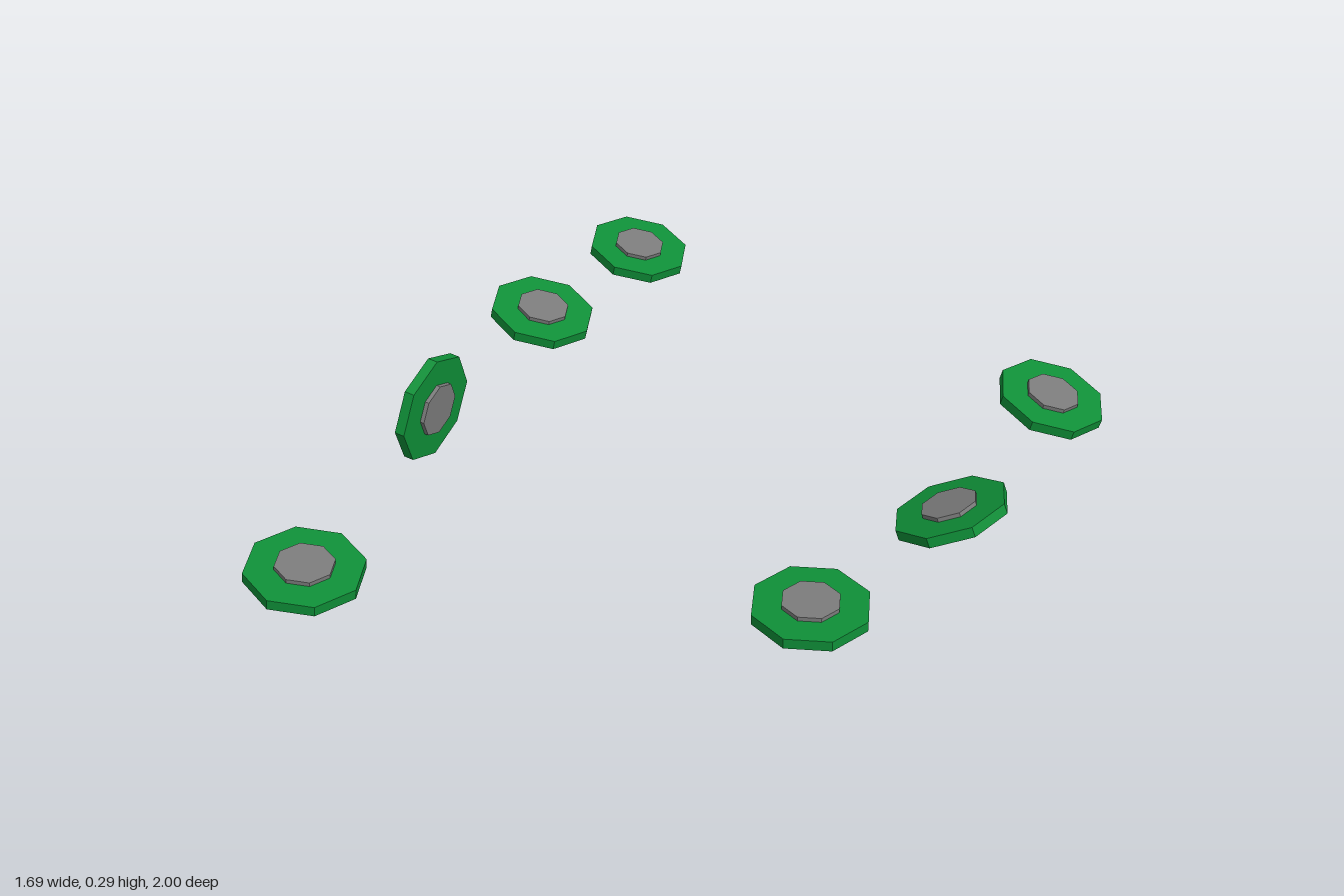
import * as THREE from 'three';

export function createModel() {
  const model = new THREE.Group();
  model.name = 'scatteredDiscs';

  const green = new THREE.MeshStandardMaterial({ color: 0x0f9038, flatShading: true });
  green.name = 'green';
  const grey = new THREE.MeshStandardMaterial({ color: 0x7c7c7c, flatShading: true });
  grey.name = 'grey';

  // Shared octagonal plate and raised centre
  const plateGeometry = new THREE.CylinderGeometry(0.145, 0.145, 0.027, 8);
  const centreGeometry = new THREE.CylinderGeometry(0.072, 0.072, 0.012, 8);

  // Each disc: x, y, z of the plate centre and its tilt about z in degrees
  const discs = [
    [0.505, 0.074, 0.405, 0],
    [0.673, 0.128, -0.025, 21.8],
    [0.698, 0.094, -0.655, -14],
    [-0.655, 0.09, -0.855, -12.5],
    [-0.702, 0.107, -0.39, -13.5],
    [-0.667, 0.15, 0.205, -96],
    [-0.595, 0.088, 0.85, -7],
  ];

  discs.forEach(([x, y, z, tilt], i) => {
    const disc = new THREE.Group();
    disc.name = `disc${i + 1}`;

    const plate = new THREE.Mesh(plateGeometry, green);
    plate.name = 'plate';

    const centre = new THREE.Mesh(centreGeometry, grey);
    centre.name = 'raisedCentre';
    centre.position.y = 0.0185;

    disc.add(plate, centre);
    disc.position.set(x, y, z);
    disc.rotation.z = THREE.MathUtils.degToRad(tilt);
    model.add(disc);
  });

  return model;
}
